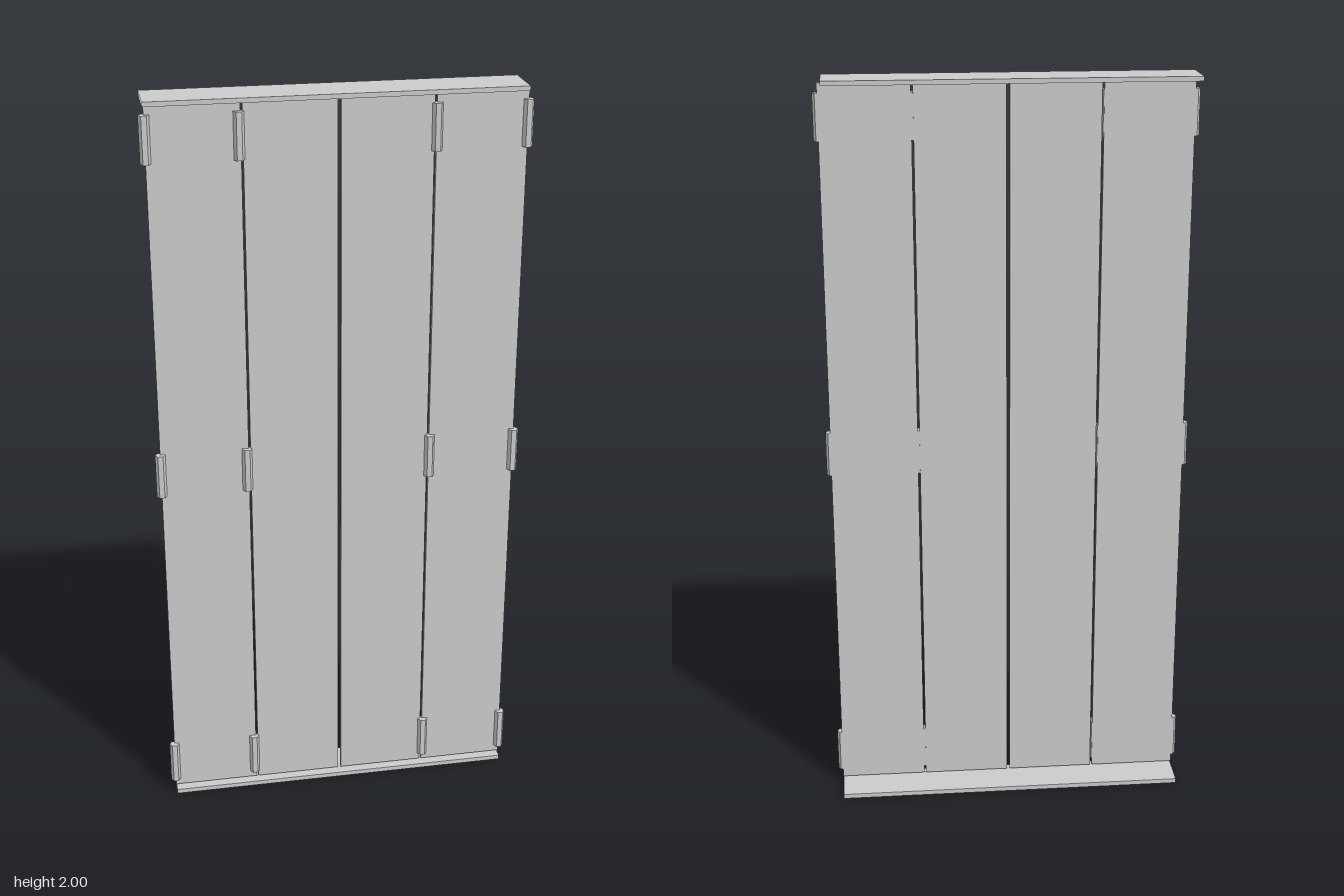
import * as THREE from 'three';

const material = new THREE.MeshStandardMaterial({ color: 0xcccccc, flatShading: true, side: THREE.DoubleSide });

// Box given by its minimum and maximum corners
function boxBetween(name, [x0, y0, z0], [x1, y1, z1], openEnds = false) {
  const geometry = new THREE.BoxGeometry(x1 - x0, y1 - y0, z1 - z0);
  // The first two faces (12 indices) are the +x and -x ends
  if (openEnds) geometry.setIndex(Array.from(geometry.index.array).slice(12));
  const mesh = new THREE.Mesh(geometry, material);
  mesh.name = name;
  mesh.position.set((x0 + x1) / 2, (y0 + y1) / 2, (z0 + z1) / 2);
  return mesh;
}

export function createModel() {
  const model = new THREE.Group();
  model.name = 'foldingDoor';

  // Head and sill rails, open at their ends and slightly offset from each other
  model.add(boxBetween('topRail', [-0.481, 1.988, -0.053], [0.466, 2, 0.07], true));
  model.add(boxBetween('bottomRail', [-0.475, 0, -0.072], [0.475, 0.013, 0.049], true));

  // Four narrow door leaves with slim gaps between them
  const leaves = [[-0.476, -0.243], [-0.238, -0.004], [0.004, 0.238], [0.243, 0.476]];
  leaves.forEach(([x0, x1], i) => {
    model.add(boxBetween(`doorLeaf${i + 1}`, [x0, 0.019, 0.018], [x1, 1.986, 0.03]));
  });

  // Hexagonal hinge barrels, corners pointing sideways
  const barrel = new THREE.CylinderGeometry(0.0135, 0.0135, 0.12, 6);
  barrel.rotateY(Math.PI / 6);
  const hinges = new THREE.Group();
  hinges.name = 'hinges';
  for (const x of [-0.476, -0.248, 0.244, 0.475]) {
    for (const y of [0.1, 1.005, 1.9]) {
      const hinge = new THREE.Mesh(barrel, material);
      hinge.name = 'hinge';
      hinge.position.set(x, y, 0.032);
      hinges.add(hinge);
    }
  }
  model.add(hinges);

  return model;
}
